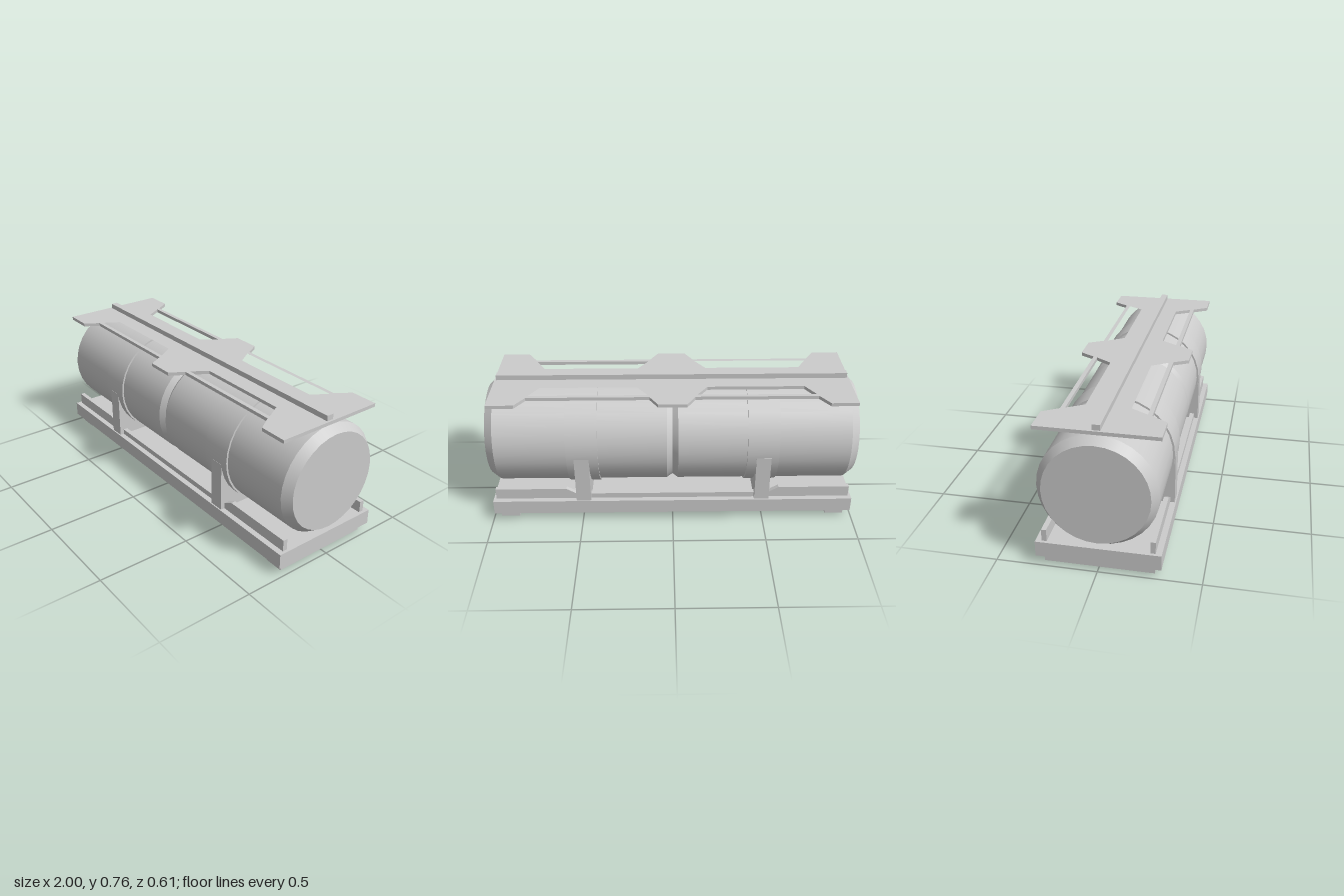
import * as THREE from 'three';

const material = new THREE.MeshStandardMaterial({ color: 0xcccccc });
const AXIS_Y = 0.422;

export function createModel() {
  const model = new THREE.Group();

  const add = (name, geometry, x = 0, y = 0, z = 0) => {
    const mesh = new THREE.Mesh(geometry, material);
    mesh.name = name;
    mesh.position.set(x, y, z);
    model.add(mesh);
    return mesh;
  };
  const box = (name, w, y0, y1, d, x = 0, z = 0) =>
    add(name, new THREE.BoxGeometry(w, y1 - y0, d), x, (y0 + y1) / 2, z);
  // Drum section along x, from radius r0 at x0 to radius r1 at x1
  const drum = (name, x0, r0, x1, r1, open = true) => {
    const g = new THREE.CylinderGeometry(r1, r0, x1 - x0, 32, 1, open);
    g.rotateZ(-Math.PI / 2);
    return add(name, g, (x0 + x1) / 2, AXIS_Y);
  };
  const polygon = (points, Type = THREE.Shape) =>
    new Type(points.map(([x, y]) => new THREE.Vector2(x, y)));

  // Skid base
  box('base', 1.98, 0.045, 0.125, 0.61);

  // Side rails, lower between the saddles
  const rail = polygon([
    [-0.975, 0.12], [0.975, 0.12], [0.975, 0.187], [0.585, 0.187],
    [0.53, 0.155], [-0.53, 0.155], [-0.585, 0.187], [-0.975, 0.187],
  ]);
  for (const z of [-0.275, 0.25]) {
    add('sideRail', new THREE.ExtrudeGeometry(rail, { depth: 0.025, bevelEnabled: false }), 0, 0, z);
  }

  for (const s of [-1, 1]) {
    box('foot', 0.1, 0, 0.045, 0.54, s * 0.91);
    box('saddle', 0.08, 0.12, 0.395, 0.596, s * 0.49);

    // Tank half with chamfered ends and a raised band
    const section = (name, a, ra, b, rb, open) =>
      s > 0 ? drum(name, a, ra, b, rb, open) : drum(name, -b, rb, -a, ra, open);
    section('tankInnerChamfer', 0, 0.268, 0.03, 0.29);
    section('tankBody', 0.03, 0.29, 0.955, 0.29);
    section('tankOuterChamfer', 0.955, 0.29, 1, 0.257);
    section('tankBand', 0.4, 0.3, 0.57, 0.3, false);
    const cap = add('tankEnd', new THREE.CircleGeometry(0.257, 32), s, AXIS_Y);
    cap.rotation.y = s * Math.PI / 2;
  }

  // Top walkway: notched edges and four trapezoid openings
  const edge = [
    [-0.96, 0.295], [-0.815, 0.295], [-0.765, 0.217], [-0.12, 0.217], [-0.075, 0.295],
    [0.075, 0.295], [0.12, 0.217], [0.765, 0.217], [0.815, 0.295], [0.96, 0.295],
  ];
  const walkway = polygon([...edge, ...edge.map(([x, z]) => [-x, -z])]);
  for (const sx of [-1, 1]) {
    for (const sz of [-1, 1]) {
      const hole = [[0.13, 0.195], [0.755, 0.195], [0.705, 0.11], [0.187, 0.11]];
      walkway.holes.push(polygon(hole.map(([x, z]) => [x * sx, z * sz]), THREE.Path));
    }
  }
  const plate = new THREE.ExtrudeGeometry(walkway, { depth: 0.018, bevelEnabled: false });
  plate.rotateX(-Math.PI / 2);
  add('topPlate', plate, 0, 0.712);
  box('topSpine', 1.9, 0.73, 0.758, 0.038);

  return model;
}
